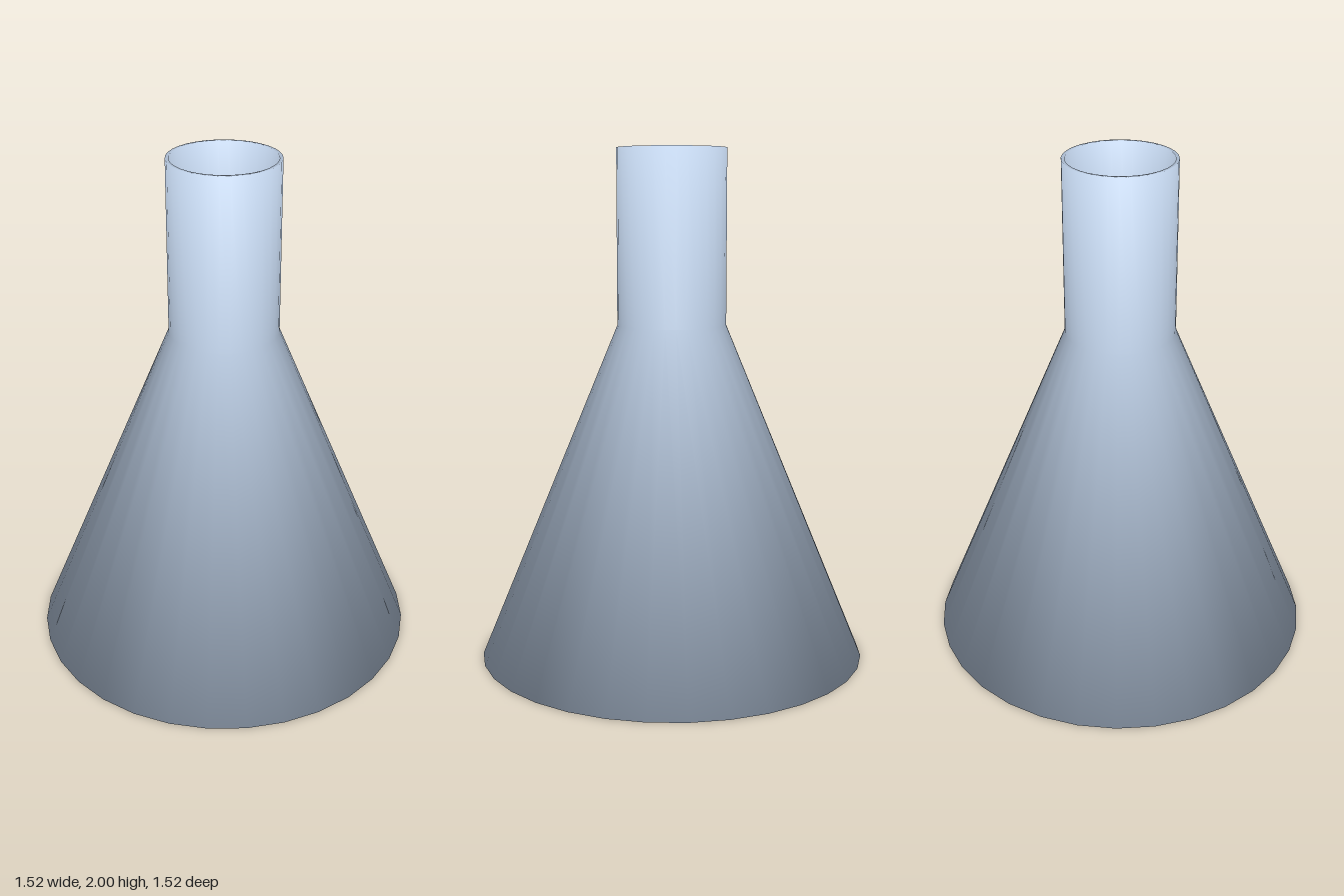
import * as THREE from 'three';

const SIDES = 32;
const INNER_BASE = 0.742;

// Wall profile as [radius, height, outward normal, upward normal];
// each normal is the even blend of the two faces meeting at that edge
const PROFILE = [
  [INNER_BASE, 0, -0.88, -0.46],
  [0.76, 0, 0.85, -0.52],
  [0.213, 1.32, 0.98, 0.19],
  [0.213, 2, 0.71, 0.71],
  [0.2, 2, -0.71, 0.71],
  [0.2, 1.32, -0.98, -0.19],
  [INNER_BASE, 0, -0.88, -0.46],
];

// Sets a normal pointing (out, up) at vertex i of a round geometry
function setNormal({ position, normal }, i, radius, out, up) {
  const k = out / radius;
  normal.setXYZ(i, position.getX(i) * k, up, position.getZ(i) * k);
}

export function createModel() {
  const model = new THREE.Group();
  model.name = 'conicalFlask';
  const material = new THREE.MeshStandardMaterial({ color: 0xbfd1e8, side: THREE.DoubleSide });

  // Thin wall: base rim, outer cone, neck, lip, then back down the inside
  const points = PROFILE.map(([r, y]) => new THREE.Vector2(r, y));
  const shell = new THREE.LatheGeometry(points, SIDES);
  for (let i = 0; i < shell.attributes.position.count; i++) {
    const [radius, , out, up] = PROFILE[i % PROFILE.length];
    setNormal(shell.attributes, i, radius, out, up);
  }
  const wall = new THREE.Mesh(shell, material);
  wall.name = 'flaskWall';
  model.add(wall);

  // Flat floor, its normals blending smoothly into the inner wall
  const disc = new THREE.CircleGeometry(INNER_BASE, SIDES).rotateX(Math.PI / 2);
  for (let i = 0; i < disc.attributes.position.count; i++) {
    setNormal(disc.attributes, i, INNER_BASE, -0.88, -0.46);
  }
  const floor = new THREE.Mesh(disc, material);
  floor.name = 'flaskFloor';
  model.add(floor);

  return model;
}
